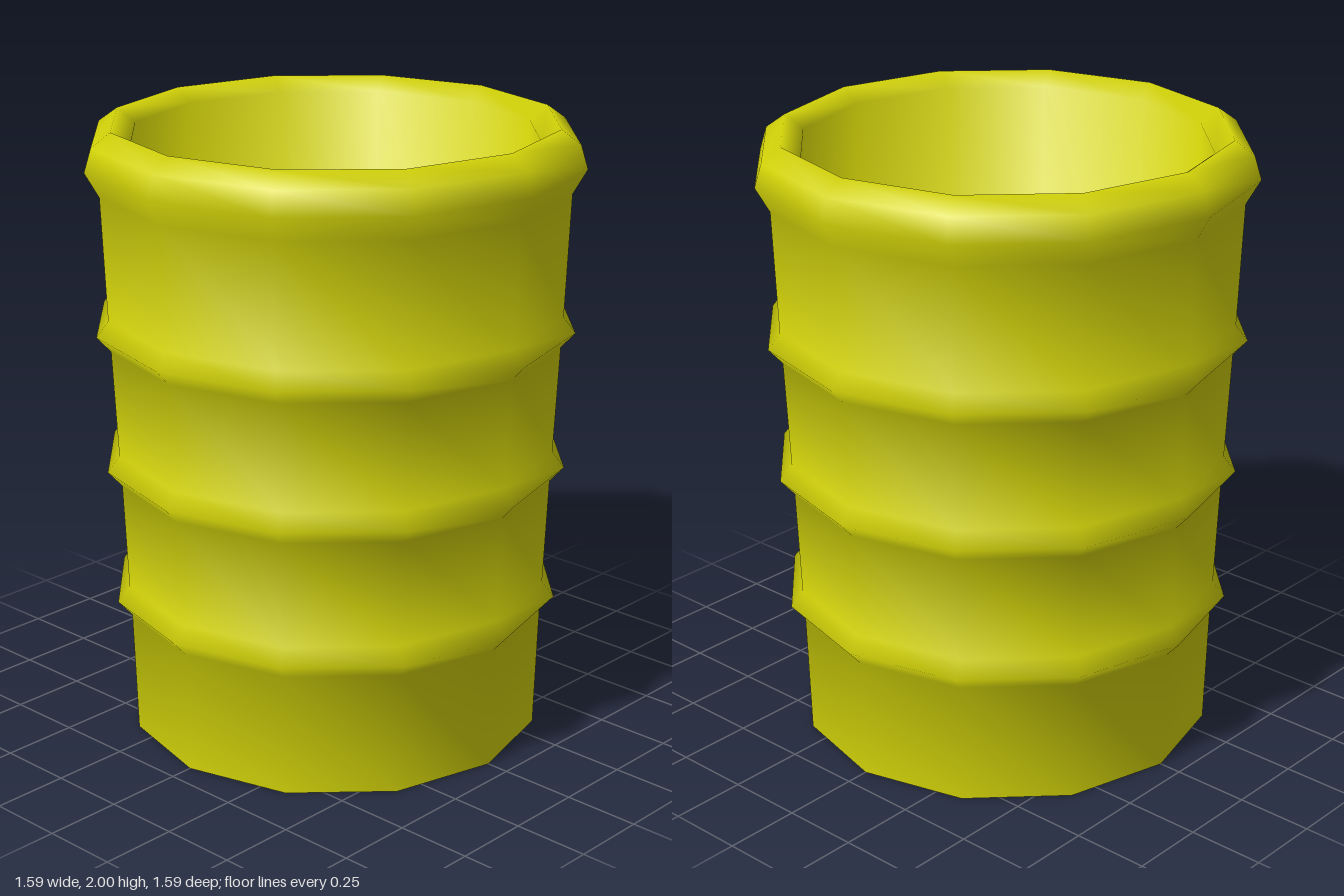
import * as THREE from 'three';

const SIDES = 12;

// Lathe whose normals give every profile segment equal weight, for soft hoops.
function softLathe(profile) {
  const points = profile.map(([r, y]) => new THREE.Vector2(r, y));
  const faceNormals = points.slice(1).map((p, i) => {
    const d = p.clone().sub(points[i]).normalize();
    return new THREE.Vector2(d.y, -d.x);
  });
  const normals = points.map((p, i) => {
    const before = faceNormals[Math.max(i - 1, 0)];
    const after = faceNormals[Math.min(i, faceNormals.length - 1)];
    return before.clone().add(after).normalize();
  });
  const geometry = new THREE.LatheGeometry(points, SIDES);
  const attribute = geometry.attributes.normal;
  for (let v = 0; v < attribute.count; v++) {
    const angle = Math.floor(v / points.length) * 2 * Math.PI / SIDES;
    const n = normals[v % points.length];
    attribute.setXYZ(v, n.x * Math.sin(angle), n.y, n.x * Math.cos(angle));
  }
  return geometry;
}

export function createModel() {
  const group = new THREE.Group();
  group.name = 'barrel';
  const yellow = new THREE.MeshStandardMaterial({ color: 0xd3d309, side: THREE.DoubleSide });

  // Tapered outer wall, open at the base, with three raised hoops
  const profile = [[0.675, 0]];
  for (const [radius, y] of [[0.69, 0.455], [0.71, 0.905], [0.732, 1.355]]) {
    profile.push([radius - 0.003, y - 0.05], [radius + 0.042, y], [radius + 0.003, y + 0.05]);
  }

  // Rolled rim
  profile.push([0.75, 1.8], [0.795, 1.88], [0.772, 1.955], [0.71, 2], [0.65, 1.955]);

  // Straight inner wall down to a raised floor
  profile.push([0.65, 1], [0, 1]);

  const shell = new THREE.Mesh(softLathe(profile), yellow);
  shell.name = 'barrelShell';
  group.add(shell);

  return group;
}
